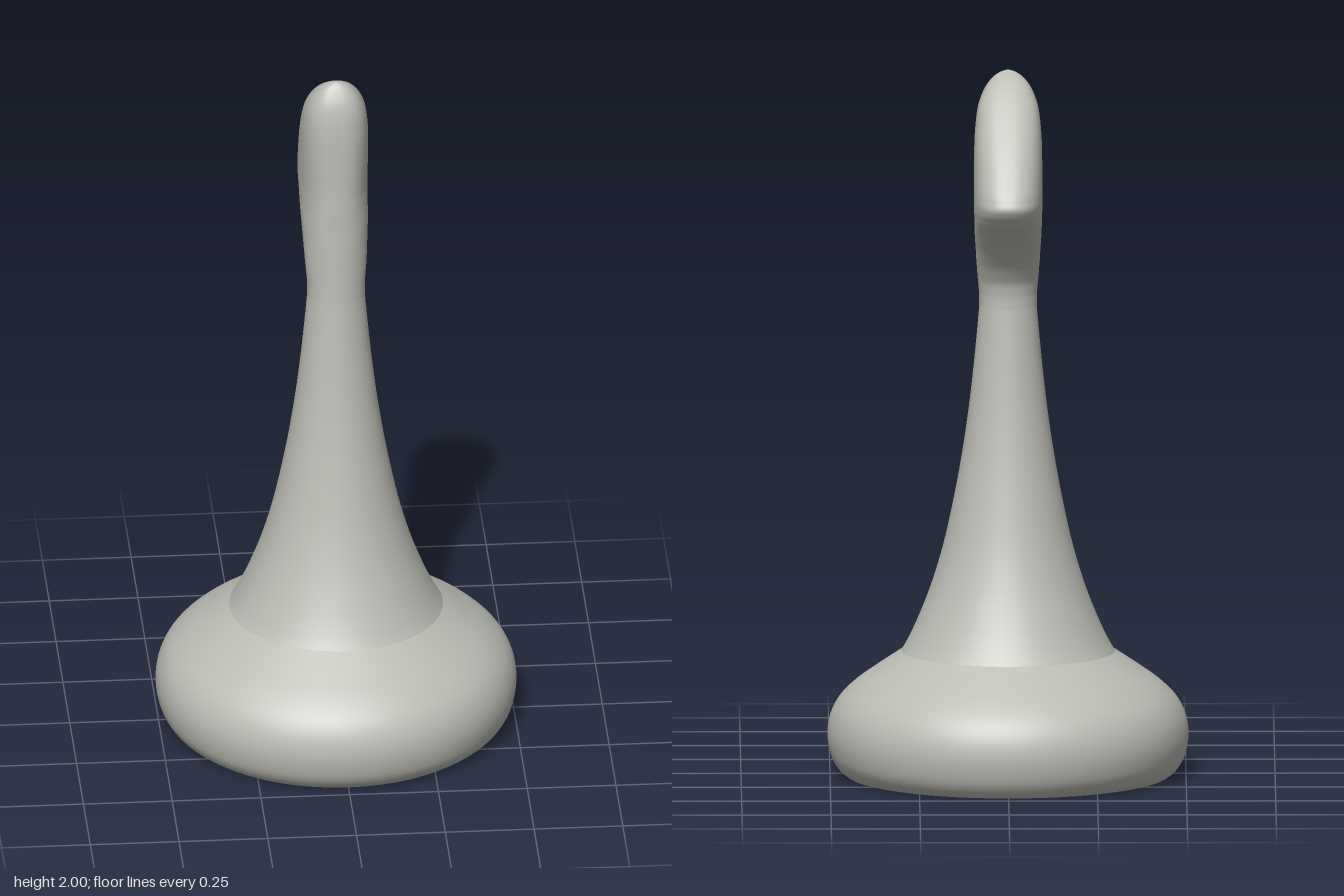
import * as THREE from 'three';

const stone = new THREE.MeshStandardMaterial({ color: 0xbcbcb5 });
stone.name = 'warm grey';

function part(name, geometry) {
  const mesh = new THREE.Mesh(geometry, stone);
  mesh.name = name;
  return mesh;
}

// Smooth turned shape from a few [radius, height] points
function turned(points, steps) {
  const curve = new THREE.SplineCurve(points.map(([r, y]) => new THREE.Vector2(r, y)));
  return new THREE.LatheGeometry(curve.getPoints(steps), 96);
}

// Head: horizontal superellipse sections [y, front z, back z, half width]
function headGeometry() {
  const keys = [
    [1.32, 0.081, -0.081, 0.081], [1.36, 0.079, -0.08, 0.081],
    [1.40, 0.077, -0.086, 0.084], [1.45, 0.075, -0.115, 0.088],
    [1.50, 0.073, -0.158, 0.091], [1.55, 0.071, -0.213, 0.094],
    [1.60, 0.070, -0.288, 0.095], [1.625, 0.069, -0.313, 0.096],
    [1.65, 0.068, -0.325, 0.096], [1.68, 0.067, -0.313, 0.096],
    [1.74, 0.066, -0.268, 0.096], [1.80, 0.065, -0.219, 0.095],
    [1.85, 0.063, -0.175, 0.092], [1.90, 0.058, -0.128, 0.085],
    [1.94, 0.049, -0.086, 0.071], [1.97, 0.035, -0.049, 0.052],
    [1.99, 0.021, -0.018, 0.029], [2.00, 0.008, 0.004, 0.002],
  ];
  const profile = new THREE.CatmullRomCurve3(keys.map(k => new THREE.Vector3(k[1], k[2], k[3])));
  const heights = new THREE.SplineCurve(keys.map((k, i) => new THREE.Vector2(i, k[0])));
  const rows = 85, sides = 64;
  const positions = [], indices = [];
  for (let i = 0; i <= rows; i++) {
    const s = profile.getPoint(i / rows);
    const y = heights.getPoint(i / rows).y;
    const mid = (s.x + s.y) / 2, depth = (s.x - s.y) / 2;
    // round at the neck, squarer along the beak
    const power = 2 / (2 + 0.5 * THREE.MathUtils.smoothstep(y, 1.38, 1.6));
    for (let j = 0; j < sides; j++) {
      const a = j / sides * Math.PI * 2;
      const c = Math.cos(a), n = Math.sin(a);
      positions.push(
        s.z * Math.sign(n) * Math.abs(n) ** power, y,
        mid + depth * Math.sign(c) * Math.abs(c) ** power);
      if (i < rows) {
        const k = (j + 1) % sides;
        const p = i * sides + j, q = i * sides + k;
        indices.push(p, q, q + sides, p, q + sides, p + sides);
      }
    }
  }
  // close the tip
  const tip = positions.length / 3;
  positions.push(0, 2, 0.006);
  for (let j = 0; j < sides; j++) {
    indices.push(rows * sides + j, rows * sides + (j + 1) % sides, tip);
  }
  const geometry = new THREE.BufferGeometry();
  geometry.setAttribute('position', new THREE.Float32BufferAttribute(positions, 3));
  geometry.setIndex(indices);
  geometry.computeVertexNormals();
  return geometry;
}

export function createModel() {
  const group = new THREE.Group();
  group.name = 'gamePiece';

  // Bulging foot
  group.add(part('base', turned([
    [0.455, 0], [0.478, 0.02], [0.497, 0.055], [0.507, 0.11], [0.5, 0.165],
    [0.475, 0.215], [0.43, 0.26], [0.37, 0.303], [0.3, 0.35],
  ], 40)));

  // Flat underside
  const underside = part('underside', new THREE.CircleGeometry(0.455, 96));
  underside.rotation.x = Math.PI / 2;
  group.add(underside);

  // Flared stem
  group.add(part('stem', turned([
    [0.3, 0.35], [0.28, 0.385], [0.25, 0.45], [0.212, 0.55], [0.175, 0.68],
    [0.14, 0.85], [0.116, 1.0], [0.1, 1.13], [0.088, 1.25], [0.081, 1.33],
  ], 50)));

  // Head with its beak pointing back
  group.add(part('head', headGeometry()));
  return group;
}
